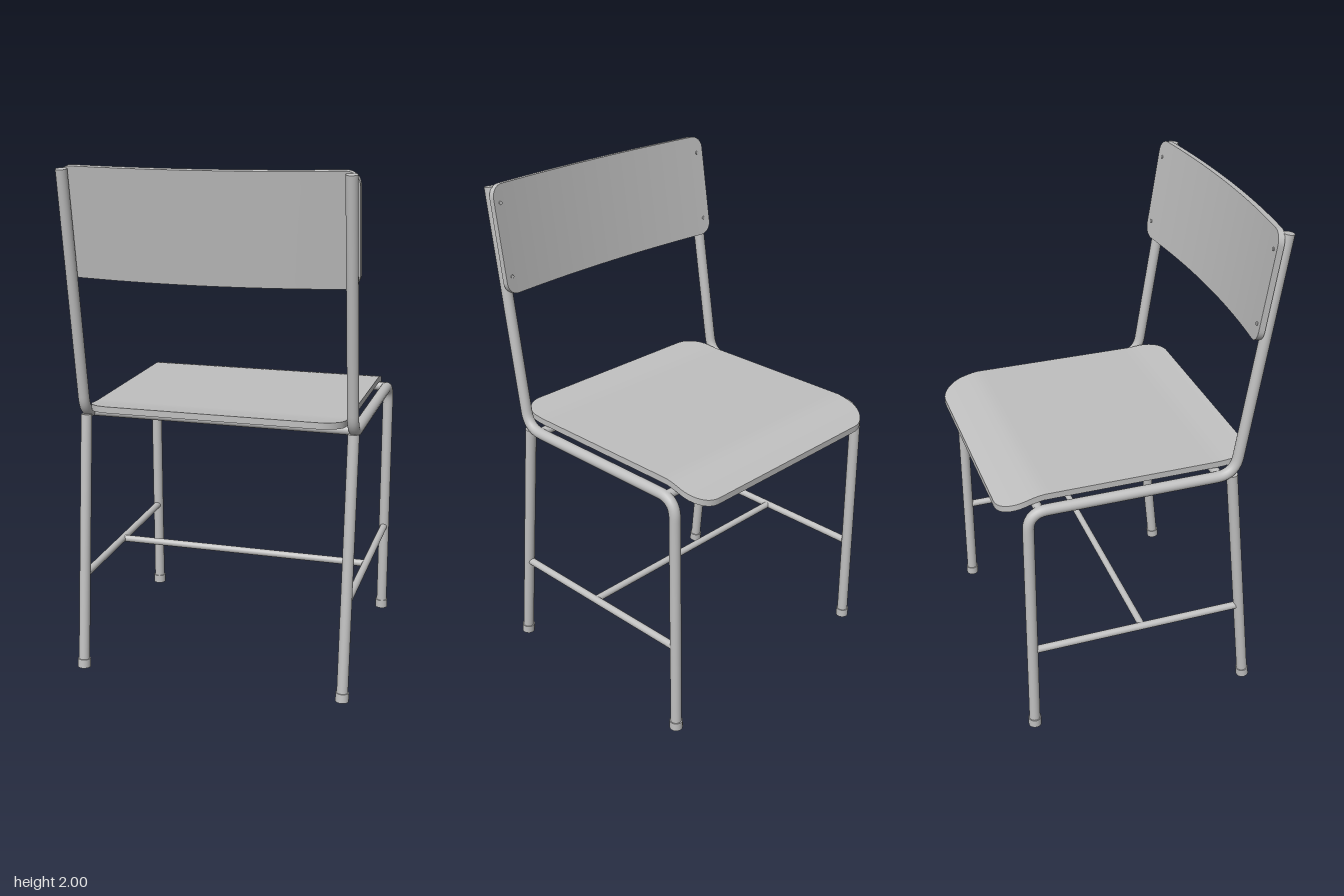
import * as THREE from 'three';

const V = (x, y, z) => new THREE.Vector3(x, y, z);

// Straight round bar between two points
function rod(name, a, b, r, mat) {
  const dir = b.clone().sub(a);
  const mesh = new THREE.Mesh(new THREE.CylinderGeometry(r, r, dir.length(), 24), mat);
  mesh.position.copy(a).add(b).multiplyScalar(0.5);
  mesh.quaternion.setFromUnitVectors(V(0, 1, 0), dir.normalize());
  mesh.name = name;
  return mesh;
}

// Tube path through corner points, each inner corner rounded off
function bentPath(points, bend) {
  const path = new THREE.CurvePath();
  let from = points[0];
  for (let i = 1; i < points.length - 1; i++) {
    const p = points[i];
    const a = p.clone().add(points[i - 1].clone().sub(p).setLength(bend));
    const b = p.clone().add(points[i + 1].clone().sub(p).setLength(bend));
    path.add(new THREE.LineCurve3(from, a));
    path.add(new THREE.QuadraticBezierCurve3(a, p, b));
    from = b;
  }
  path.add(new THREE.LineCurve3(from, points[points.length - 1]));
  return path;
}

// Plywood sheet with rounded corners, lying flat and bent by offset(x, z)
function sheet(w, l, t, r, offset) {
  const geo = new THREE.BoxGeometry(w, t, l, 24, 1, 56);
  const p = geo.attributes.position;
  for (let i = 0; i < p.count; i++) {
    const z = Math.sin((p.getZ(i) / l) * Math.PI) * l / 2;
    const d = Math.max(0, Math.abs(z) - (l / 2 - r));
    const half = w / 2 - r + Math.sqrt(Math.max(0, r * r - d * d));
    const x = p.getX(i) * half / (w / 2);
    p.setXYZ(i, x, p.getY(i) + offset(x, z), z);
  }
  geo.computeVertexNormals();
  return geo;
}

export function createModel() {
  const model = new THREE.Group();
  model.name = 'chair';
  const grey = new THREE.MeshStandardMaterial({ color: 0xc0c0c0 });
  grey.name = 'grey';

  const R = 0.022, railY = 1.033;

  for (const s of [-1, 1]) {
    const side = new THREE.Group();
    side.name = s > 0 ? 'leftFrame' : 'rightFrame';
    const x = 0.53 * s;

    // Front leg, seat rail and back upright in one bent tube
    const top = V(x, 1.985, 0.515), corner = V(x, railY, 0.372);
    const path = bentPath([V(x, 0.02, -0.445), V(x, railY, -0.445), corner, top], 0.075);
    const tube = new THREE.Mesh(new THREE.TubeGeometry(path, 180, R, 20), grey);
    tube.name = 'bentTube';
    side.add(tube);
    const up = top.clone().sub(corner).normalize();
    side.add(rod('uprightPlug', top.clone().addScaledVector(up, -0.01), top.clone().addScaledVector(up, 0.002), R, grey));

    // Rear leg and feet
    const legTop = V(x, railY, 0.362), legEnd = V(x, 0.003, 0.472);
    side.add(rod('rearLeg', legTop, legEnd, R, grey));
    const legDir = legTop.clone().sub(legEnd).normalize();
    side.add(rod('rearFoot', legEnd, legEnd.clone().addScaledVector(legDir, 0.035), 0.026, grey));
    side.add(rod('frontFoot', V(x, 0, -0.445), V(x, 0.035, -0.445), 0.026, grey));

    // Side stretcher
    side.add(rod('sideStretcher', V(x, 0.385, 0.43), V(x, 0.385, -0.445), 0.015, grey));
    model.add(side);
  }

  // Bars across the chair
  const cross = (name, y, z, r) => model.add(rod(name, V(-0.53, y, z), V(0.53, y, z), r, grey));
  cross('crossStretcher', 0.385, 0.01, 0.014);
  cross('frontSeatBar', railY, -0.4, 0.018);
  cross('rearSeatBar', railY, 0.31, 0.018);

  // Seat: front edge rolls down, rear edge lifts a little
  const seat = new THREE.Mesh(sheet(1, 1, 0.025, 0.1, (x, z) => {
    const front = Math.max(0, (-0.33 - z) / 0.17);
    const rear = Math.max(0, (z - 0.36) / 0.14);
    return 0.015 * rear ** 1.3 - 0.055 * front ** 1.5;
  }), grey);
  seat.name = 'seat';
  seat.position.set(0, 1.068, -0.04);
  model.add(seat);

  // Backrest: bowed towards the rear and leaning with the uprights
  const back = new THREE.Group();
  back.name = 'backrest';
  const panel = new THREE.Mesh(sheet(1.11, 0.418, 0.025, 0.05, x => -0.042 * (1 - (x / 0.555) ** 2)), grey);
  panel.name = 'backPanel';
  back.add(panel);
  for (const x of [-0.525, 0.525]) for (const z of [-0.14, 0.14]) {
    const screw = new THREE.Mesh(new THREE.CylinderGeometry(0.007, 0.007, 0.006, 16), grey);
    screw.name = 'screw';
    screw.position.set(x, 0.009, z);
    back.add(screw);
  }
  back.rotation.x = 0.149 - Math.PI / 2;
  back.position.set(0, 1.793, 0.452);
  model.add(back);

  return model;
}
